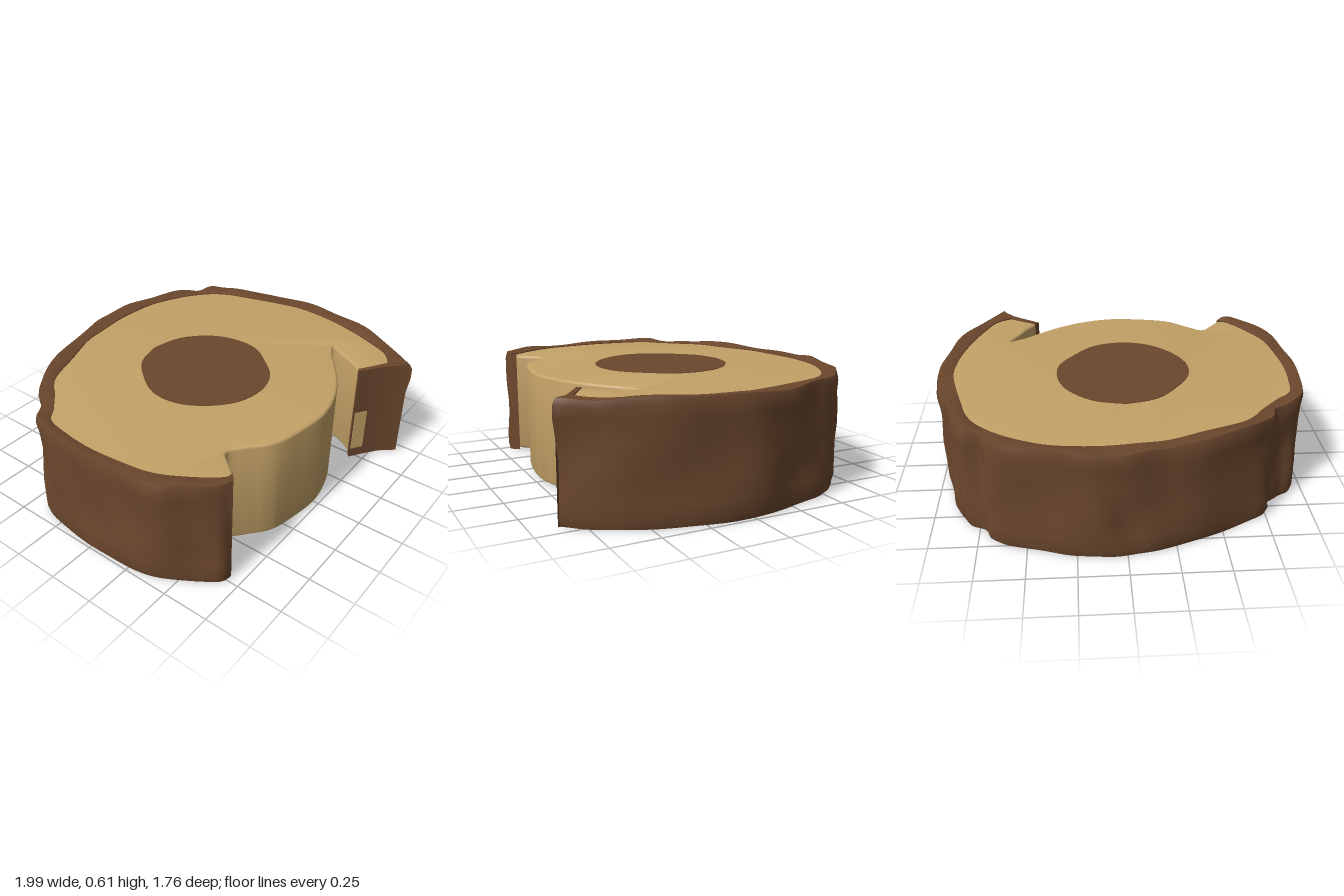
import * as THREE from 'three';
import { toCreasedNormals } from 'three/addons/utils/BufferGeometryUtils.js';

const TOP = 0.6, BOTTOM = 0.025;

// Bark stations, front-left round the back to front-right: outer x, z, inner x, z
const BARK = [
  [-0.72, 0.69, -0.66, 0.645], [-0.79, 0.66, -0.71, 0.63], [-0.87, 0.55, -0.8, 0.51],
  [-0.95, 0.42, -0.88, 0.36], [-0.985, 0.22, -0.91, 0.2], [-0.99, 0, -0.925, 0],
  [-0.975, -0.2, -0.91, -0.18], [-0.93, -0.37, -0.88, -0.31], [-0.85, -0.43, -0.8, -0.38],
  [-0.77, -0.49, -0.7, -0.48], [-0.74, -0.57, -0.65, -0.54], [-0.62, -0.65, -0.57, -0.6],
  [-0.4, -0.76, -0.38, -0.67], [-0.2, -0.82, -0.2, -0.74], [-0.05, -0.86, -0.05, -0.76],
  [0.1, -0.875, 0.1, -0.775], [0.25, -0.855, 0.25, -0.77], [0.42, -0.81, 0.4, -0.745],
  [0.6, -0.755, 0.55, -0.68], [0.68, -0.7, 0.63, -0.63], [0.72, -0.63, 0.68, -0.59],
  [0.8, -0.59, 0.74, -0.53], [0.85, -0.51, 0.79, -0.44], [0.9, -0.38, 0.82, -0.34],
  [0.955, -0.2, 0.87, -0.16], [0.99, 0, 0.905, 0.02], [0.975, 0.2, 0.89, 0.22],
  [0.93, 0.42, 0.84, 0.42], [0.85, 0.62, 0.78, 0.58], [0.77, 0.76, 0.72, 0.7],
  [0.69, 0.87, 0.635, 0.765],
];
const v2 = (p) => new THREE.Vector2(p[0], p[1]);
const outer = new THREE.SplineCurve(BARK.map((p) => v2(p)));
const inner = new THREE.SplineCurve(BARK.map((p) => v2(p.slice(2))));

// Upright slab from an x-z outline, between two heights
function slab(points, y0, y1, bevel = 0) {
  const geo = new THREE.ExtrudeGeometry(new THREE.Shape(points), {
    depth: y1 - y0 - 2 * bevel, bevelEnabled: bevel > 0,
    bevelSize: bevel, bevelThickness: bevel, bevelOffset: -bevel, bevelSegments: 3,
  });
  geo.rotateX(Math.PI / 2).translate(0, y1 - bevel, 0);
  return toCreasedNormals(geo, 0.6);
}

// Bark band: a closed cross-section swept along the two curves
function barkGeometry() {
  const N = 180;
  // fraction from inner to outer curve, height, share of the bumps
  const section = [
    [0.55, 0.01, 0.2], [0.92, 0.012, 0.5], [1.03, 0.045, 0.7], [0.99, 0.12, 1], [0.94, 0.22, 1],
    [0.92, 0.32, 1], [0.93, 0.42, 1], [0.97, 0.52, 1], [1.03, 0.58, 0.7],
    [0.92, 0.612, 0.5], [0.5, 0.614, 0.2], [0, 0.605, 0], [0, 0.018, 0],
  ];
  const S = section.length, pos = [], idx = [];
  for (let i = 0; i <= N; i++) {
    const u = i / N, o = outer.getPoint(u), n = inner.getPoint(u);
    const rim = 0.006 * Math.sin(u * 37) + 0.004 * Math.sin(u * 83 + 1);
    for (const [f, y, k] of section) {
      const bump = 0.07 * Math.sin(u * 61 + y * 5) + 0.06 * Math.sin(u * 119 - y * 9) + 0.05 * Math.sin(u * 43 + y * 17);
      const t = f + k * bump;
      pos.push(n.x + (o.x - n.x) * t, y + (y > 0.55 && f > 0 ? rim : 0), n.y + (o.y - n.y) * t);
    }
  }
  for (let i = 0; i < N; i++) {
    for (let j = 0; j < S; j++) {
      const a = i * S + j, d = i * S + (j + 1) % S, b = a + S, c = d + S;
      idx.push(a, d, c, a, c, b);
    }
  }
  // End caps, fanned from the inner bottom corner
  for (let j = 0; j < S - 2; j++) {
    idx.push(S - 1, j + 1, j);
    idx.push(N * S + S - 1, N * S + j, N * S + j + 1);
  }
  const geo = new THREE.BufferGeometry();
  geo.setAttribute('position', new THREE.Float32BufferAttribute(pos, 3));
  geo.setIndex(idx);
  return toCreasedNormals(geo, 0.7);
}

// Wood outline: tucked under the bark, then the split and the bulging front
function woodOutline() {
  const pts = [];
  for (let i = 0; i <= 90; i++) {
    const u = i / 90, tuck = 0.4 * Math.min(1, 12 * u, 12 * (1 - u));
    pts.push(inner.getPoint(u).lerp(outer.getPoint(u), tuck));
  }
  const split = [[0.475, 0.675], [0.53, 0.6], [0.575, 0.5], [0.62, 0.425]].map(v2);
  const front = new THREE.SplineCurve([
    [0.62, 0.425], [0.54, 0.465], [0.45, 0.535], [0.32, 0.625], [0.17, 0.695], [0, 0.73],
    [-0.17, 0.715], [-0.34, 0.675], [-0.46, 0.585], [-0.545, 0.525], [-0.6, 0.575],
  ].map(v2)).getPoints(60);
  return [...pts, ...split, ...front.slice(1)];
}

export function createModel() {
  const wood = new THREE.MeshStandardMaterial({ color: 0xc4a267 });
  wood.name = 'pale wood';
  const brown = new THREE.MeshStandardMaterial({ color: 0x6b472d });
  brown.name = 'brown bark';

  const model = new THREE.Group();
  model.name = 'logSlice';
  const add = (name, geo, mat) => {
    const mesh = new THREE.Mesh(geo, mat);
    mesh.name = name;
    model.add(mesh);
    return mesh;
  };

  add('woodBody', slab(woodOutline(), BOTTOM, TOP, 0.014), wood);
  add('bark', barkGeometry(), brown);

  // Bark folded round the end of the split-off piece
  const fold = [[0.69, 0.87], [0.635, 0.76], [0.48, 0.662], [0.46, 0.68], [0.55, 0.74], [0.62, 0.79]].map(v2);
  add('barkEnd', slab(fold, 0.015, 0.605), brown);

  // Bare patch where the bark has chipped away
  const patch = add('barePatch', new THREE.BoxGeometry(0.075, 0.25, 0.006), wood);
  patch.position.set(0.496, 0.2, 0.705);
  patch.rotation.y = -Math.atan2(0.06, 0.09);

  // Dark heartwood on both faces
  const heart = new THREE.SplineCurve([
    [-0.02, -0.38], [0.15, -0.335], [0.28, -0.215], [0.335, -0.07], [0.325, 0.08], [0.24, 0.205],
    [0.13, 0.315], [-0.02, 0.358], [-0.18, 0.325], [-0.31, 0.215], [-0.385, 0.07], [-0.38, -0.08],
    [-0.3, -0.215], [-0.18, -0.335], [-0.02, -0.38],
  ].map(v2)).getPoints(56).slice(0, -1);
  add('heartwoodTop', slab(heart, TOP - 0.002, TOP + 0.003), brown);
  add('heartwoodBottom', slab(heart, BOTTOM - 0.003, BOTTOM + 0.002), brown);

  return model;
}
